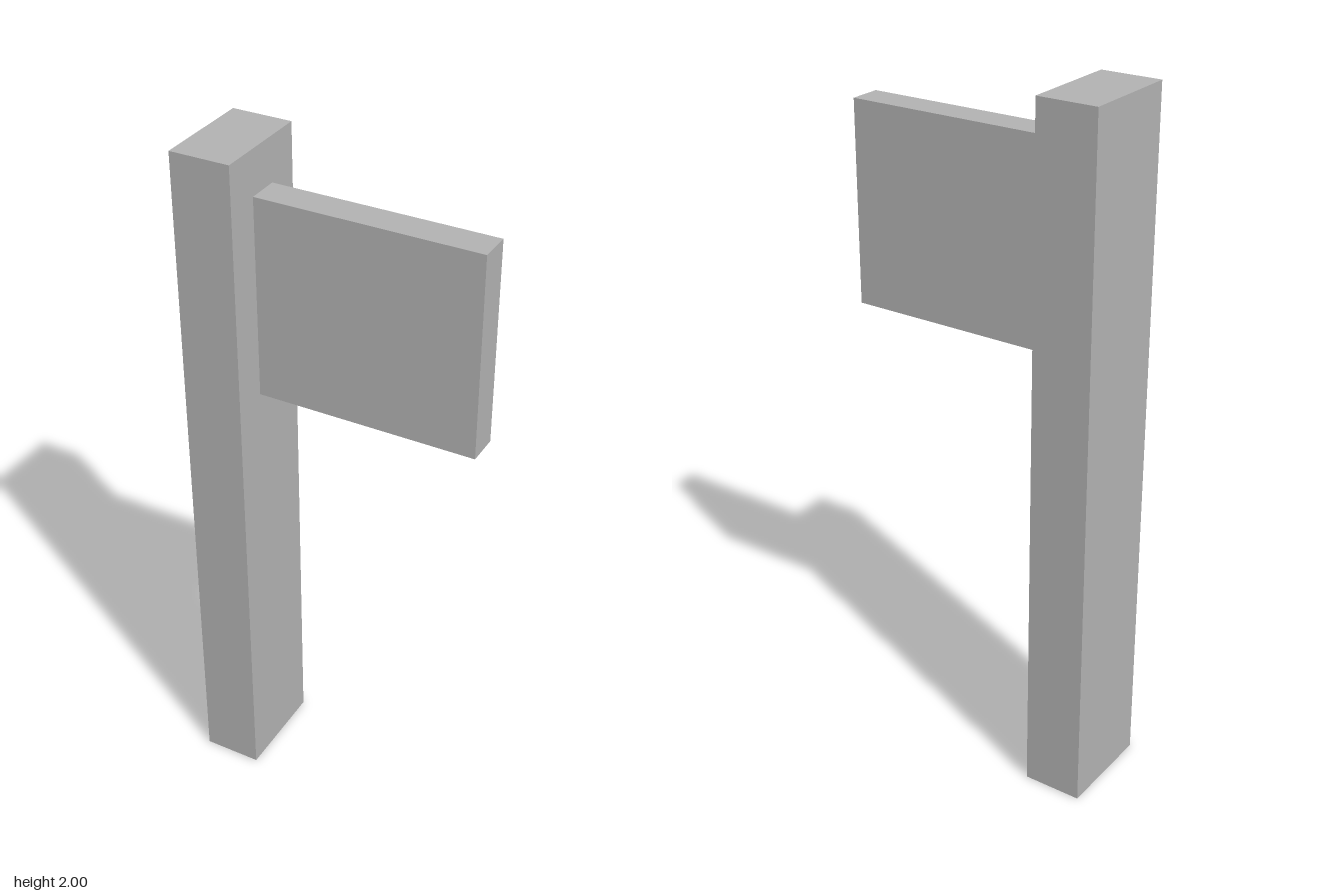
import * as THREE from 'three';

const grey = new THREE.MeshStandardMaterial({ color: 0xb2b2b2 });
grey.name = 'grey';

// Box given by its lower and upper corners
function box(name, min, max) {
  const size = max.map((v, i) => v - min[i]);
  const mesh = new THREE.Mesh(new THREE.BoxGeometry(...size), grey);
  mesh.position.set(...min.map((v, i) => (v + max[i]) / 2));
  mesh.name = name;
  return mesh;
}

export function createModel() {
  const model = new THREE.Group();
  model.name = 'signPost';

  // Upright post
  model.add(box('post', [-0.403, 0, -0.148], [-0.231, 2, 0.148]));

  // Sign board projecting from the post's side
  model.add(box('signBoard', [-0.231, 1.297, -0.047], [0.403, 1.875, 0.046]));

  return model;
}
